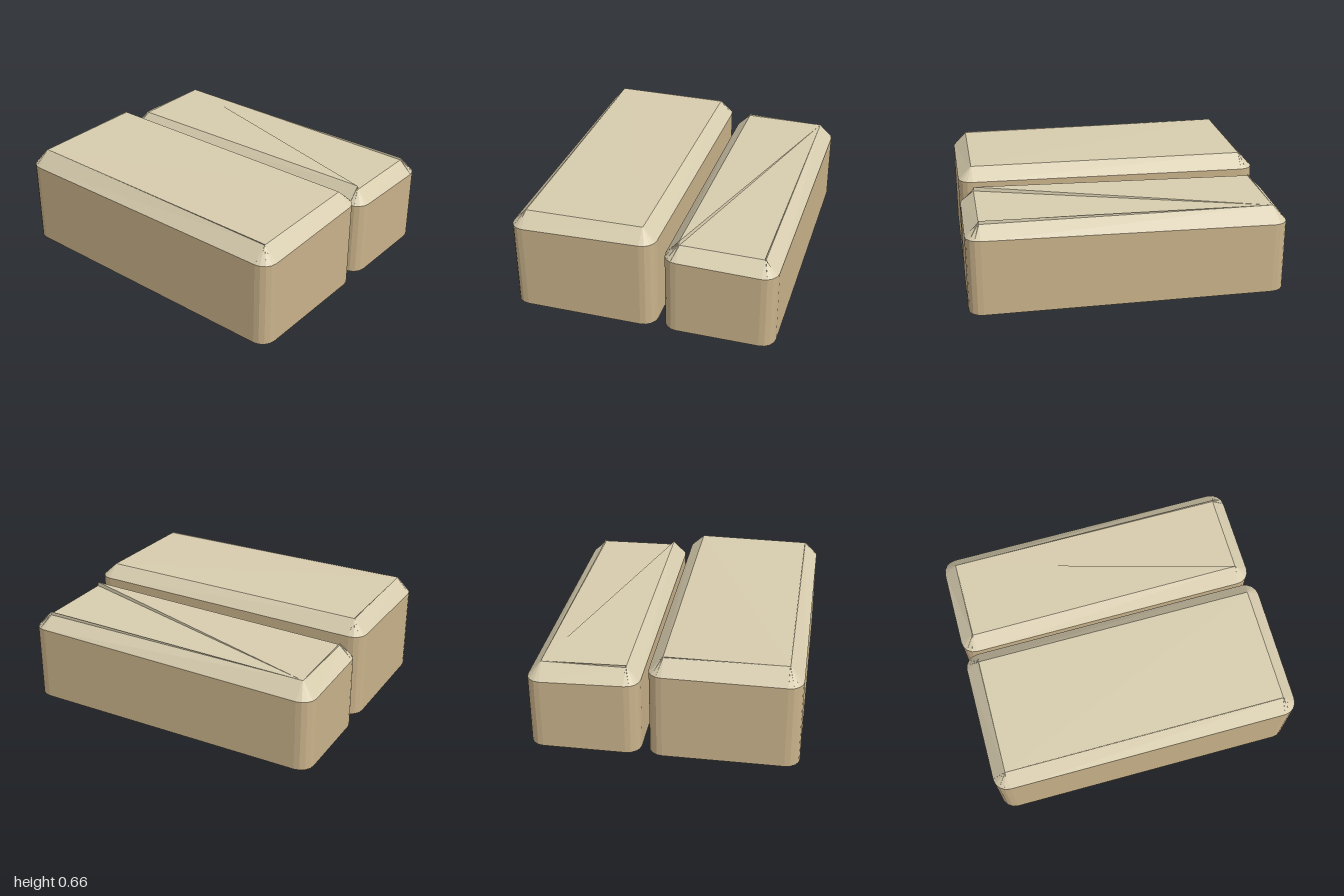
import * as THREE from 'three';

const SEG = 4; // facets per rounded corner
const R = 0.09; // corner radius, equal to the bevel inset

const sideStone = new THREE.MeshStandardMaterial({ color: 0xc9b28a });
sideStone.name = 'sandstone side';
const topStone = new THREE.MeshStandardMaterial({ color: 0xd7ccae });
topStone.name = 'pale sandstone top';

// Flat-shaded geometry from a list of triangles
function facets(tris) {
  const g = new THREE.BufferGeometry().setFromPoints(tris.flat());
  g.computeVertexNormals();
  return g;
}

const quad = (a, b, c, d) => [[a, b, c], [a, c, d]];

// Fan over a loop, starting from the vertex with the given index
function fan(loop, start = 0) {
  const n = loop.length, out = [];
  for (let i = 1; i < n - 1; i++) out.push([loop[start], loop[(start + i) % n], loop[(start + i + 1) % n]]);
  return out;
}

// Corners run counter-clockwise from above: back +x, back -x, front -x, front +x.
// rim: wall height per corner; crest: start, middle and end height of each top corner.
function block(name, x0, x1, rim, crest, fanCorner) {
  const centres = [[x1 - R, R - 1], [x0 + R, R - 1], [x0 + R, 1 - R], [x1 - R, 1 - R]];
  const floor = [], wall = [], top = [];
  centres.forEach(([cx, cz], c) => {
    for (let i = 0; i <= SEG; i++) {
      const t = (c + i / SEG) * Math.PI / 2;
      const x = cx + R * Math.cos(t), z = cz - R * Math.sin(t);
      const k = 2 * i / SEG, j = Math.min(1, Math.floor(k));
      floor.push(new THREE.Vector3(x, 0, z));
      wall.push(new THREE.Vector3(x, rim[c], z));
      // a hair of radius keeps the collapsed corner facets valid
      top.push(new THREE.Vector3(cx + 0.003 * Math.cos(t),
        THREE.MathUtils.lerp(crest[c][j], crest[c][j + 1], k - j), cz - 0.003 * Math.sin(t)));
    }
  });
  const sides = [], bevel = [];
  floor.forEach((p, i) => {
    const n = (i + 1) % floor.length;
    sides.push(...quad(p, floor[n], wall[n], wall[i]));
    bevel.push(...quad(wall[i], wall[n], top[n], top[i]));
  });
  const group = new THREE.Group();
  group.name = name;
  const add = (part, tris, mat) => {
    const m = new THREE.Mesh(facets(tris), mat);
    m.name = part;
    group.add(m);
  };
  add('walls', sides, sideStone);
  add('underside', fan([...floor].reverse()), sideStone);
  add('bevel', bevel, topStone);
  add('topFace', fan(top, fanCorner * (SEG + 1)), topStone);
  return group;
}

export function createModel() {
  const model = new THREE.Group();
  model.name = 'stoneBlocks';
  model.add(
    block('wideBlock', -0.84, 0.09, [0.555, 0.55, 0.56, 0.58],
      [[0.645, 0.65, 0.645], [0.65, 0.655, 0.652], [0.65, 0.655, 0.65], [0.66, 0.66, 0.66]], 1),
    block('narrowBlock', 0.14, 0.84, [0.46, 0.475, 0.5, 0.49],
      [[0.557, 0.557, 0.557], [0.557, 0.57, 0.56], [0.6, 0.59, 0.575], [0.57, 0.585, 0.563]], 0),
  );
  return model;
}
